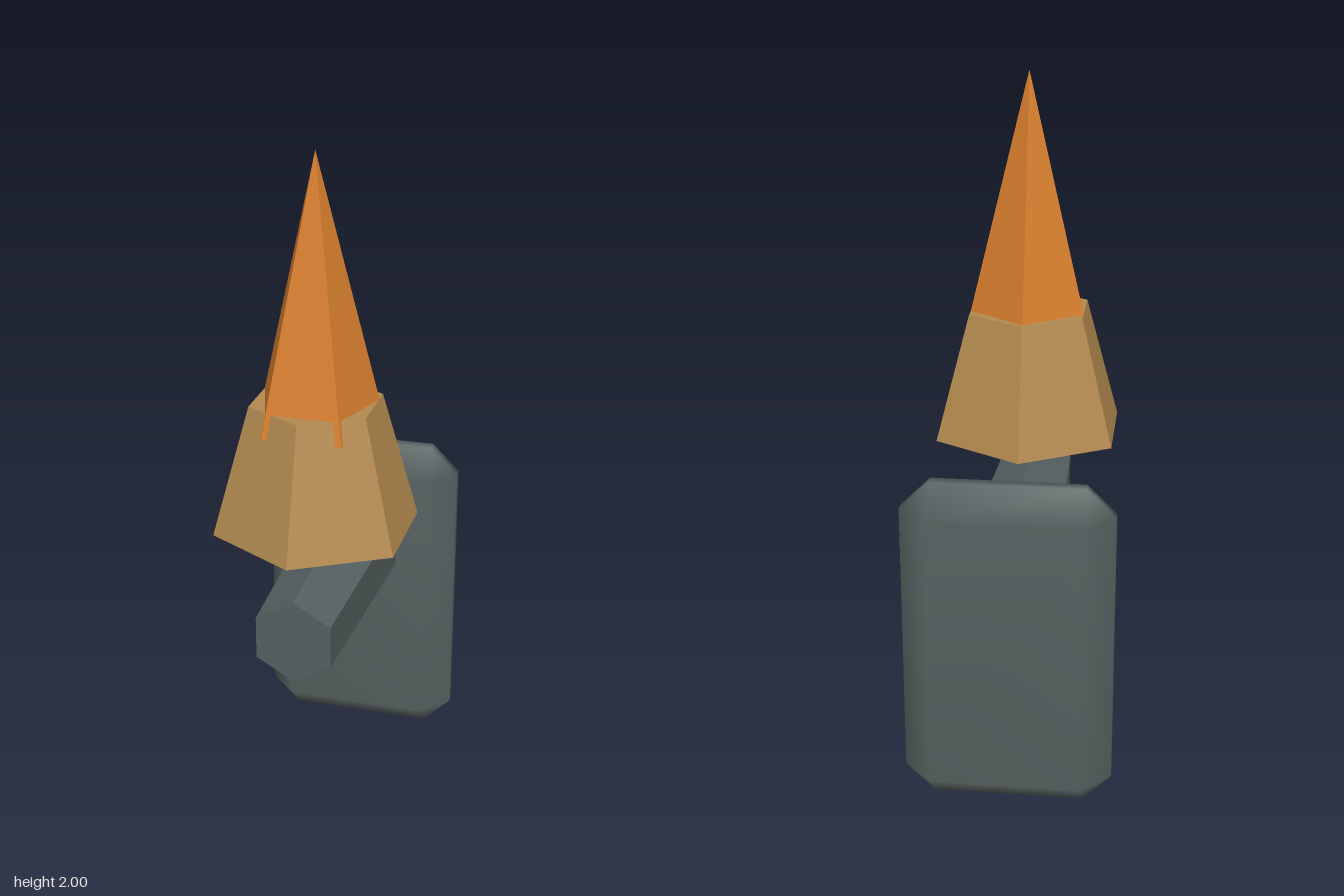
import * as THREE from 'three';
import { mergeVertices } from 'three/addons/utils/BufferGeometryUtils.js';
import { ConvexGeometry } from 'three/addons/geometries/ConvexGeometry.js';

// Box with every edge cut back by one bevel, with soft shared normals
function bevelledBox(w, h, d, bevel) {
  const half = new THREE.Vector3(w / 2, h / 2, d / 2);
  const points = [];
  for (const sx of [-1, 1]) for (const sy of [-1, 1]) for (const sz of [-1, 1]) {
    for (const axis of [0, 1, 2]) {
      const p = half.clone().subScalar(bevel);
      p.setComponent(axis, half.getComponent(axis));
      points.push(p.multiply(new THREE.Vector3(sx, sy, sz)));
    }
  }
  const geometry = new ConvexGeometry(points);
  geometry.deleteAttribute('normal');
  const merged = mergeVertices(geometry);
  merged.computeVertexNormals();
  return merged;
}

export function createModel() {
  const model = new THREE.Group();
  model.name = 'wallTorch';

  const material = (name, color, flatShading) => {
    const m = new THREE.MeshStandardMaterial({ color, flatShading });
    m.name = name;
    return m;
  };
  const iron = material('dark iron', 0x566060, false);
  const brass = material('brass', 0xb58b50, true);
  const fire = material('flame orange', 0xd87f2d, true);

  const add = (name, geometry, mat, x, y, z) => {
    const mesh = new THREE.Mesh(geometry, mat);
    mesh.name = name;
    mesh.position.set(x, y, z);
    model.add(mesh);
    return mesh;
  };

  // Wall plate at the back
  add('wallPlate', bevelledBox(0.596, 0.978, 0.2, 0.083), iron, 0, 0.489, -0.367);

  // Six-sided arm, tapering towards the front
  const arm = new THREE.CylinderGeometry(0.124, 0.151, 0.71, 6).toNonIndexed();
  arm.computeVertexNormals();
  arm.rotateX(Math.PI / 2);
  add('arm', arm, iron, 0, 0.682, 0.057);

  // Six-sided cup above the arm
  add('cup', new THREE.CylinderGeometry(0.19, 0.298, 0.375, 6), brass, 0, 1.1225, 0.17);

  // Five-sided flame, its lower corners poking through the cup
  const flame = add('flame', new THREE.ConeGeometry(0.19, 0.756, 5), fire, 0, 1.622, 0.17);
  flame.rotation.y = Math.PI;

  return model;
}
